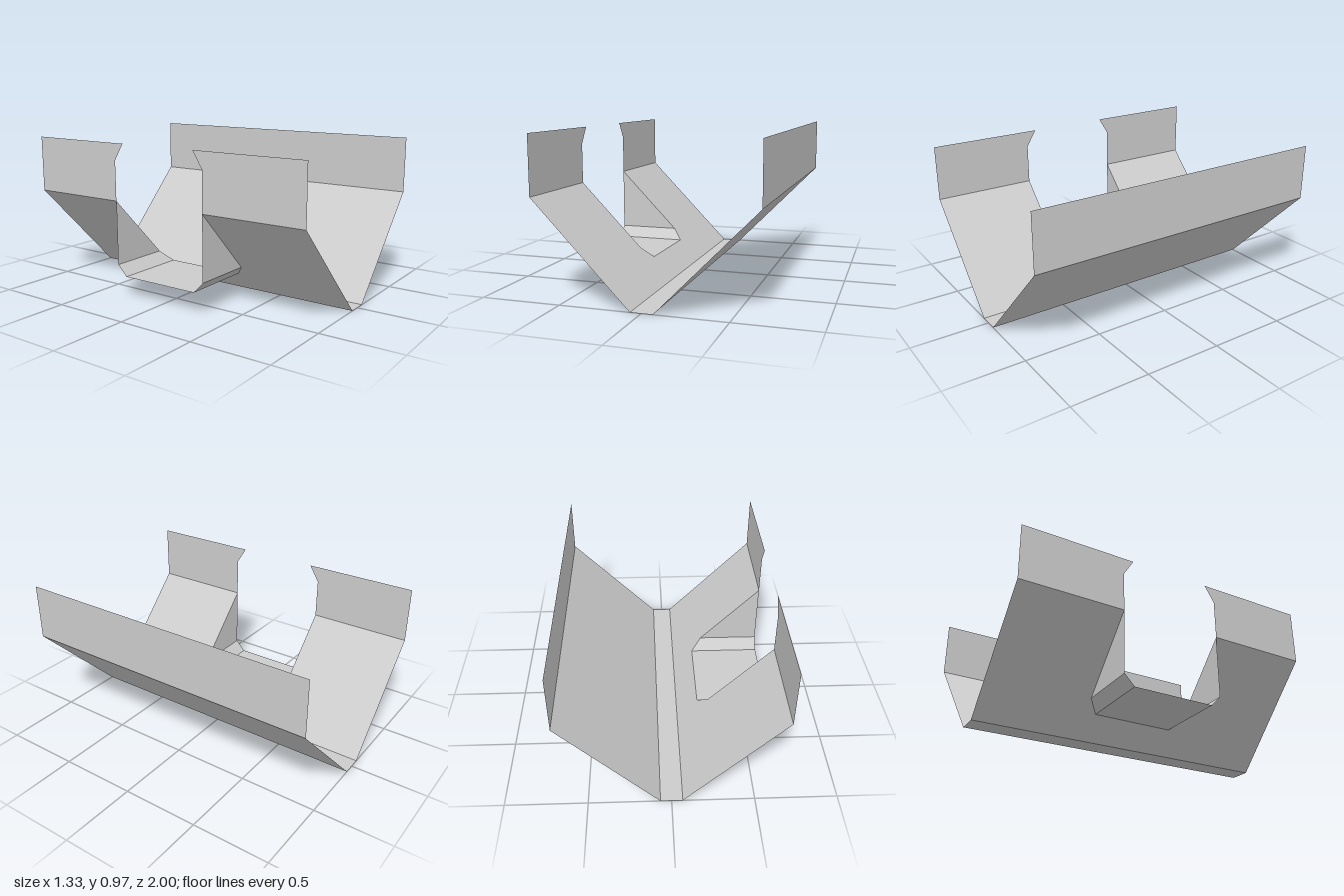
import * as THREE from 'three';

const X = 0.667, FLOOR = 0.067, SHOULDER = 0.613, TOP = 0.973; // main channel profile
const OPEN = 0.333, INNER = 0.267;                             // side branch half widths
const slopeY = (x) => (Math.abs(x) - FLOOR) * SHOULDER / (X - FLOOR);

export function createModel() {
  const group = new THREE.Group();
  const grey = new THREE.MeshStandardMaterial({ color: 0xcccccc, side: THREE.DoubleSide });
  grey.name = 'lightGrey';

  // Flat sheet: a 2D outline placed in space by a rule (u, v) -> [x, y, z]
  function sheet(name, outline, place) {
    const shape = new THREE.Shape(outline.map(([u, v]) => new THREE.Vector2(u, v)));
    const geo = new THREE.ShapeGeometry(shape);
    const p = geo.attributes.position;
    for (let i = 0; i < p.count; i++) p.setXYZ(i, ...place(p.getX(i), p.getY(i)));
    geo.computeVertexNormals();
    const mesh = new THREE.Mesh(geo, grey);
    mesh.name = name;
    group.add(mesh);
  }
  const rect = (u0, v0, u1, v1) => [[u0, v0], [u1, v0], [u1, v1], [u0, v1]];
  const onSlope = (x, z) => [x, slopeY(x), z];

  // Main channel: narrow floor, plain left side
  sheet('channelFloor', rect(-FLOOR, -1, FLOOR, 1), (x, z) => [x, 0, z]);
  sheet('leftSlope', rect(FLOOR, -1, X, 1), onSlope);
  sheet('leftWall', rect(-1, SHOULDER, 1, TOP), (z, y) => [X, y, z]);

  // Right slope, notched where the branch joins
  const xTip = -0.2, xShoulder = -0.267;
  sheet('rightSlope', [
    [-FLOOR, -1], [-FLOOR, 1], [-X, 1], [-X, OPEN], [xShoulder, OPEN], [xTip, INNER],
    [xTip, -INNER], [xShoulder, -OPEN], [-X, -OPEN], [-X, -1],
  ], onSlope);

  // Branch floor
  const yLow = slopeY(xTip), ySide = slopeY(xShoulder);
  sheet('branchFloor', rect(-X, -INNER, xTip, INNER), (x, z) => [x, yLow, z]);

  for (const s of [-1, 1]) {
    // Right wall halves, with a lip that narrows the opening at the top
    sheet('rightWall', [
      [1, SHOULDER], [1, TOP], [INNER, TOP], [OPEN, 0.867], [OPEN, SHOULDER],
    ], (z, y) => [-X, y, s * z]);
    // Branch bevel and triangular cheek
    sheet('branchBevel', [[-X, INNER], [xTip, INNER], [xShoulder, OPEN], [-X, OPEN]],
      (x, z) => [x, yLow + (ySide - yLow) * (z - INNER) / (OPEN - INNER), s * z]);
    sheet('branchCheek', [[-X, ySide], [xShoulder, ySide], [-X, SHOULDER]],
      (x, y) => [x, y, s * OPEN]);
  }
  return group;
}
